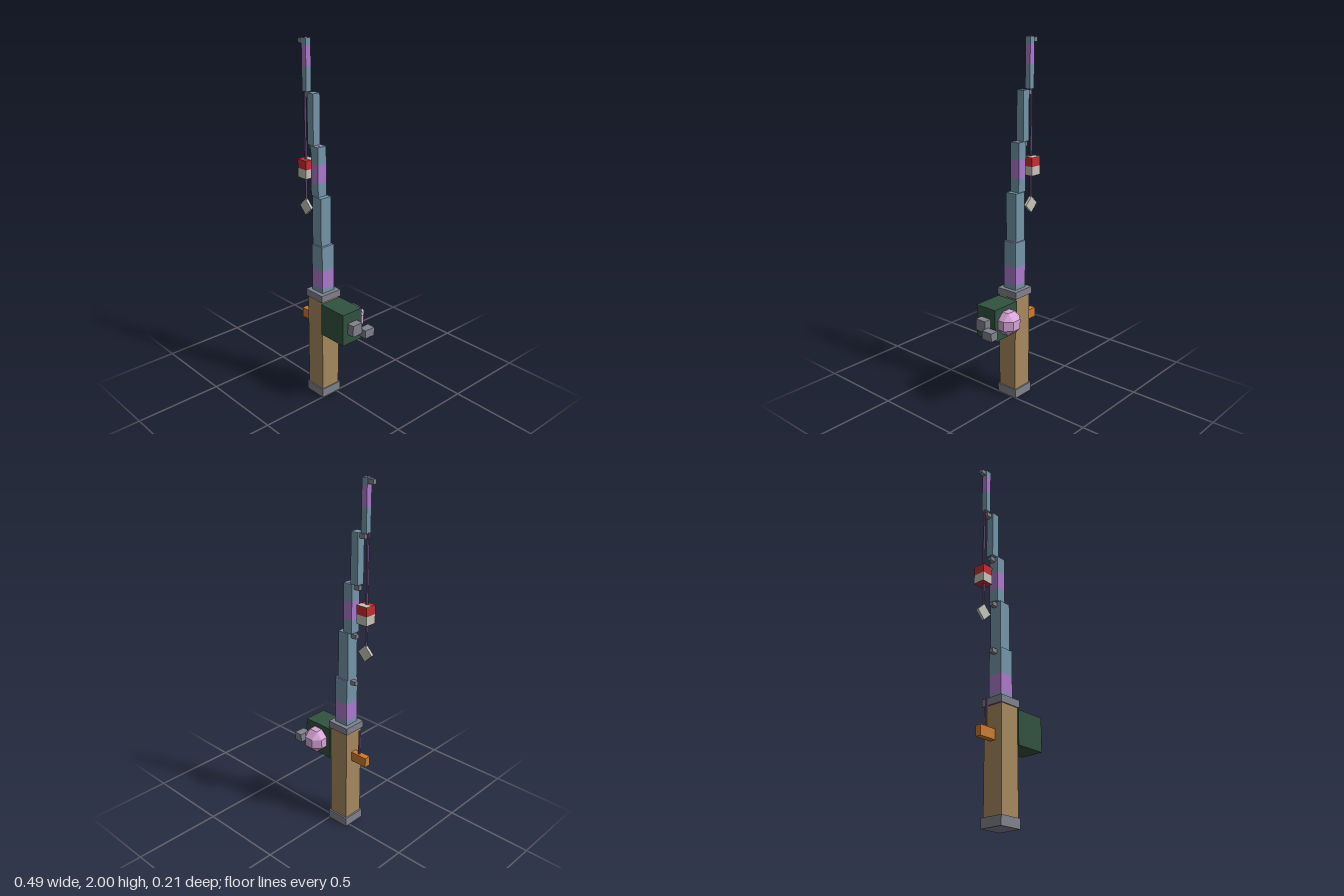
import * as THREE from 'three';
import { ConvexGeometry } from 'three/addons/geometries/ConvexGeometry.js';

const mat = (name, color) => new THREE.MeshStandardMaterial({ name, color, flatShading: true });

export function createModel() {
  const M = {
    brown: mat('cork brown', 0xa88a60),
    gray: mat('metal gray', 0x82828f),
    blue: mat('rod blue', 0x7597aa),
    purple: mat('band purple', 0xac7acd),
    green: mat('reel green', 0x325240),
    orange: mat('trigger orange', 0xcd7d32),
    red: mat('bobber red', 0xc82d32),
    white: mat('off white', 0xc6c6be),
    pink: mat('knob pink', 0xd8a6d8),
    line: mat('line purple', 0x75578c),
  };
  const model = new THREE.Group();
  model.name = 'fishingRod';

  // Box given by its min and max on each axis
  const box = (name, m, x0, x1, y0, y1, z0, z1) => {
    const mesh = new THREE.Mesh(new THREE.BoxGeometry(x1 - x0, y1 - y0, z1 - z0), m);
    mesh.position.set((x0 + x1) / 2, (y0 + y1) / 2, (z0 + z1) / 2);
    mesh.name = name;
    model.add(mesh);
    return mesh;
  };

  // Handle with end caps
  box('handle', M.brown, -0.122, -0.003, 0.05, 0.607, -0.02, 0.098);
  box('bottomCap', M.gray, -0.131, 0.003, 0, 0.052, -0.029, 0.105);
  box('topCap', M.gray, -0.131, 0.003, 0.607, 0.647, -0.029, 0.105);

  // Reel, crank and trigger
  box('reel', M.green, -0.004, 0.173, 0.412, 0.597, -0.03, 0.105);
  box('crankArm', M.gray, 0.173, 0.216, 0.472, 0.537, 0.005, 0.071);
  box('crankHandle', M.gray, 0.192, 0.241, 0.447, 0.495, -0.063, 0.003);
  box('trigger', M.orange, -0.225, -0.122, 0.421, 0.477, 0.021, 0.056);
  box('triggerLine', M.line, -0.171, -0.161, 0.477, 0.622, 0.033, 0.043);

  // Faceted knob behind the reel: a cube with bevelled edges and corners
  const R = 0.065, r = 0.027, pts = [];
  for (const sx of [-1, 1]) for (const sy of [-1, 1]) for (const sz of [-1, 1]) {
    pts.push(new THREE.Vector3(sx * R, sy * r, sz * r),
      new THREE.Vector3(sx * r, sy * R, sz * r),
      new THREE.Vector3(sx * r, sy * r, sz * R));
  }
  const knob = new THREE.Mesh(new ConvexGeometry(pts), M.pink);
  knob.name = 'reelKnob';
  knob.position.set(0.085, 0.506, -0.043);
  model.add(knob);

  // Rod sections: x0, x1, y0, y1, z0, z1, band y0, band y1, top stripe z0, z1
  const sections = [
    [-0.106, -0.022, 0.647, 0.919, -0.004, 0.08, 0.672, 0.777, -0.004, 0.035],
    [-0.106, -0.036, 0.919, 1.19, 0.003, 0.074],
    [-0.122, -0.065, 1.19, 1.46, 0.01, 0.067, 1.264, 1.366, 0.025, 0.045],
    [-0.154, -0.107, 1.46, 1.731, 0.015, 0.061],
    [-0.201, -0.167, 1.731, 2, 0.021, 0.054, 1.857, 1.963, 0.036, 0.047],
  ];
  sections.forEach(([x0, x1, y0, y1, z0, z1, b0, b1, s0, s1], i) => {
    const n = `rodSection${i + 1}`;
    if (b0) {
      box(n + 'Lower', M.blue, x0, x1, y0, b0, z0, z1);
      box(n + 'Band', M.purple, x0, x1, b0, b1, z0, z1);
      box(n + 'Upper', M.blue, x0, x1, b1, y1, z0, z1);
      box(n + 'TopStripe', M.purple, x0, x1, y1 - 0.001, y1 + 0.0005, s0, s1);
    } else box(n, M.blue, x0, x1, y0, y1, z0, z1);
    // Line guide near the tip of each section
    box(`lineGuide${i + 1}`, M.gray, x0 - 0.032, x0, y1 - 0.029, y1 - 0.005, 0.026, 0.05);
  });

  // Fishing line
  box('fishingLine', M.line, -0.204, -0.194, 1.13, 1.735, 0.033, 0.043);

  // Bobber
  box('bobberUpper', M.red, -0.231, -0.163, 1.317, 1.367, 0, 0.067);
  box('bobberLower', M.white, -0.231, -0.163, 1.267, 1.317, 0, 0.067);
  box('bobberTopPatch', M.white, -0.231, -0.163, 1.366, 1.368, 0, 0.033);
  box('bobberBase', M.red, -0.231, -0.163, 1.266, 1.268, 0, 0.067);

  // Lure: a square plate turned on its corner
  const lure = box('lure', M.white, -0.231, -0.165, 1.065, 1.131, 0.03, 0.046);
  lure.rotation.z = Math.PI / 4;

  return model;
}
